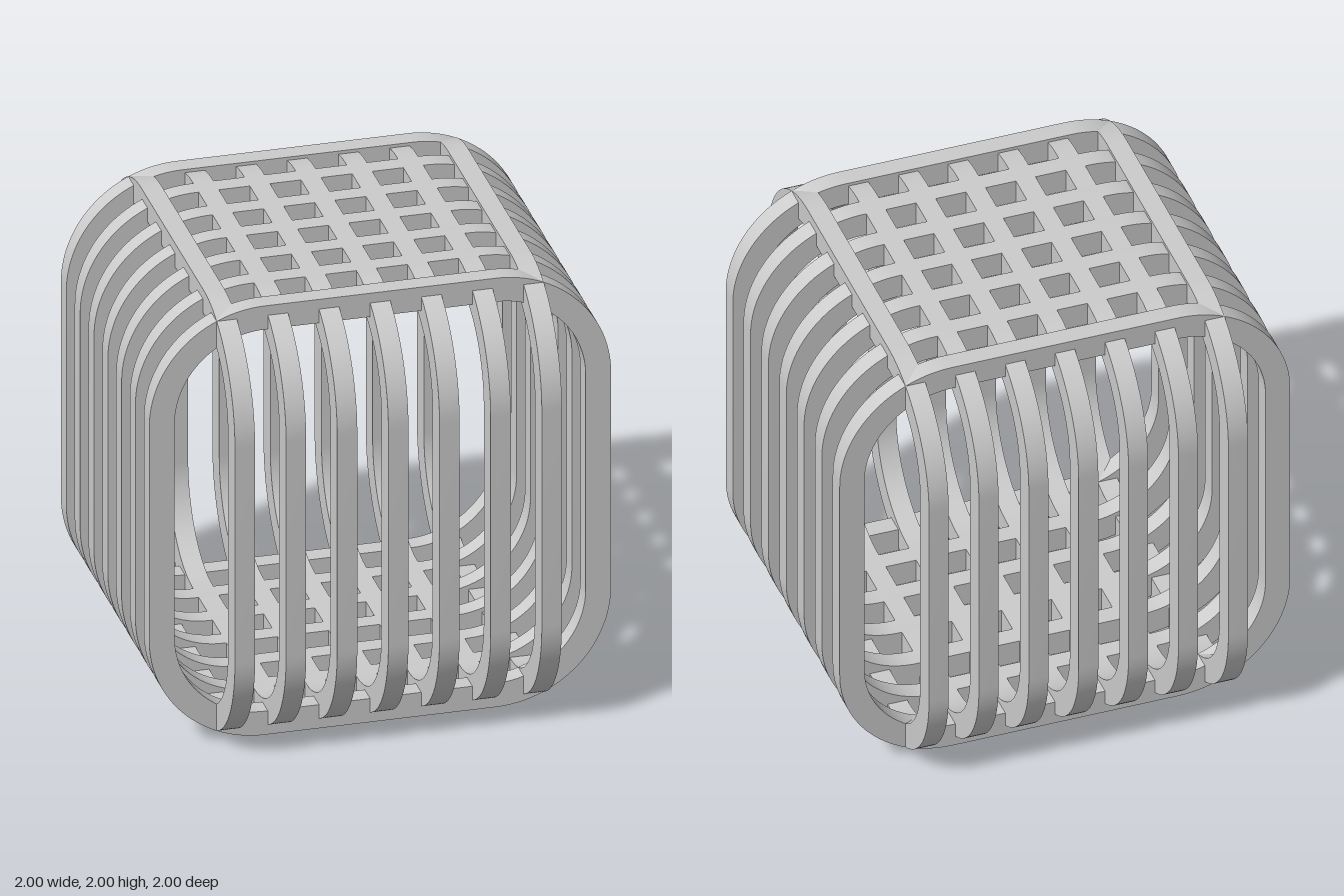
import * as THREE from 'three';
import { toCreasedNormals } from 'three/addons/utils/BufferGeometryUtils.js';

const COUNT = 7, PITCH = 0.2215, WIDTH = 0.087;
const OUTER = 1, THICK = 0.11, RADIUS = 0.5;

// Traces a rounded square of half-size h and corner radius r
function roundedSquare(path, h, r) {
  const c = h - r;
  path.moveTo(h, -c);
  path.lineTo(h, c);
  path.absarc(c, c, r, 0, Math.PI / 2);
  path.lineTo(-c, h);
  path.absarc(-c, c, r, Math.PI / 2, Math.PI);
  path.lineTo(-h, -c);
  path.absarc(-c, -c, r, Math.PI, Math.PI * 1.5);
  path.lineTo(c, -h);
  path.absarc(c, -c, r, Math.PI * 1.5, Math.PI * 2);
  return path;
}

// One flat band with a rounded-square opening, centred on the origin
function ringGeometry() {
  const shape = roundedSquare(new THREE.Shape(), OUTER, RADIUS);
  shape.holes.push(roundedSquare(new THREE.Path(), OUTER - THICK, RADIUS - THICK));
  const geo = new THREE.ExtrudeGeometry(shape, { depth: WIDTH, bevelEnabled: false, curveSegments: 16 });
  geo.translate(0, 0, -WIDTH / 2);
  return toCreasedNormals(geo, Math.PI / 6);
}

export function createModel() {
  const model = new THREE.Group();
  model.name = 'ringCage';
  const material = new THREE.MeshStandardMaterial({ color: 0xcccccc });
  const geometry = ringGeometry();

  // Two crossing rows of upright rings: one stacked along z, one along x
  const crosswise = new THREE.Group();
  crosswise.name = 'crosswiseRings';
  const lengthwise = new THREE.Group();
  lengthwise.name = 'lengthwiseRings';
  lengthwise.rotation.y = Math.PI / 2;

  for (const row of [crosswise, lengthwise]) {
    row.position.y = OUTER;
    for (let i = 0; i < COUNT; i++) {
      const ring = new THREE.Mesh(geometry, material);
      ring.name = `ring${i + 1}`;
      ring.position.z = (i - (COUNT - 1) / 2) * PITCH;
      row.add(ring);
    }
    model.add(row);
  }
  return model;
}
